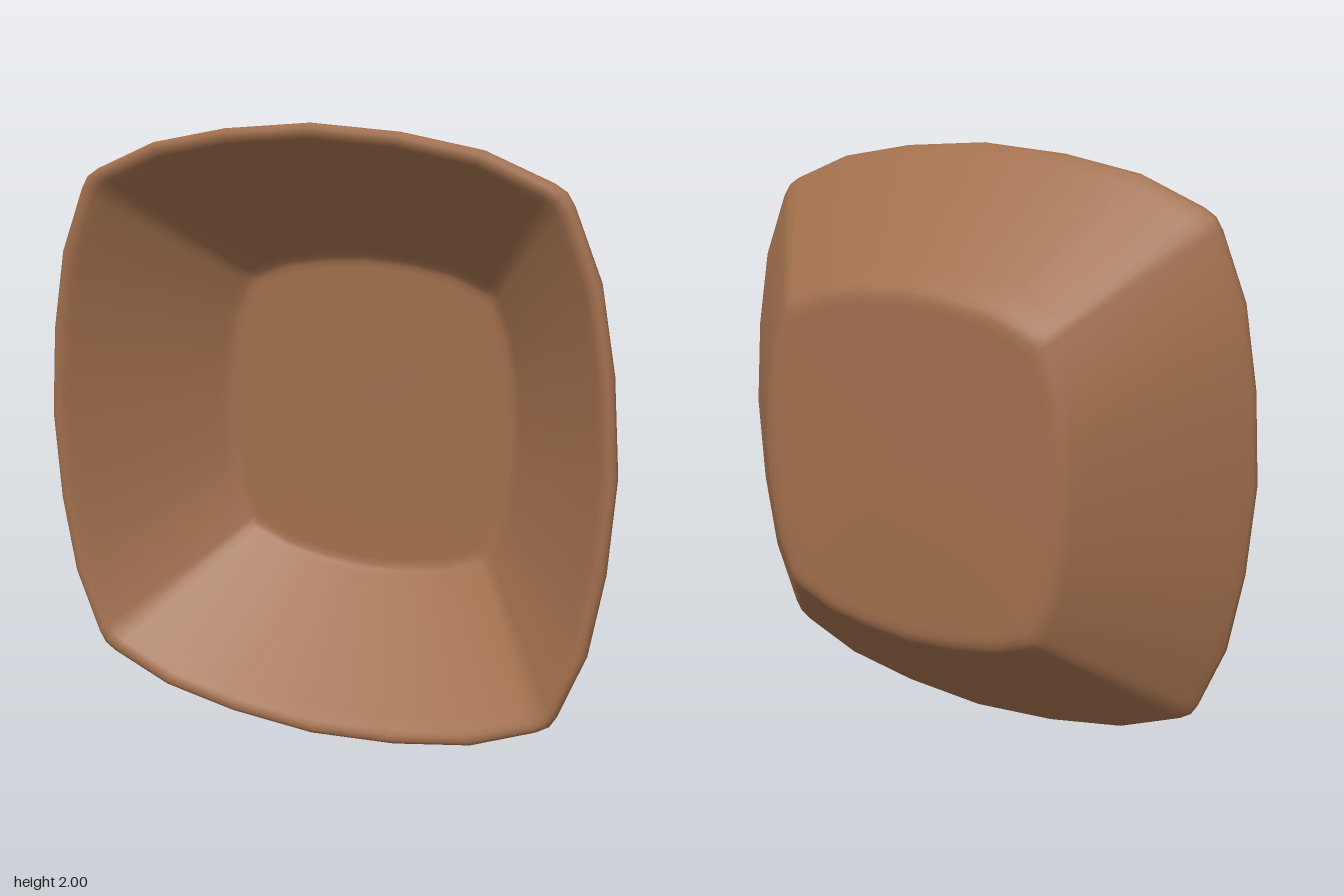
import * as THREE from 'three';

// One quarter of the rounded-square outline, from +x round to just before +y
const QUARTER = [
  [1, 0], [0.978, 0.3], [0.93, 0.565], [0.842, 0.78],
  [0.818, 0.818], [0.78, 0.842], [0.565, 0.93], [0.3, 0.978],
];

// Wall section from the back centre, round the rim, to the floor centre: [outline scale, z]
const SECTION = [
  [0, -0.24], [0.53, -0.24], [0.558, -0.238], [0.582, -0.231], [0.602, -0.215],
  [0.64, -0.174], [0.97, 0.178], [0.994, 0.204], [1, 0.218], [0.997, 0.23],
  [0.985, 0.238], [0.968, 0.236], [0.952, 0.225], [0.93, 0.202],
  [0.57, -0.17], [0.548, -0.19], [0.532, -0.198], [0.51, -0.2], [0, -0.2],
];

// Full outline, the quarter turned four times
function makeOutline() {
  const points = [];
  for (let q = 0; q < 4; q++) {
    for (const [x, y] of QUARTER) {
      points.push(new THREE.Vector2(x, y).rotateAround(new THREE.Vector2(), q * Math.PI / 2));
    }
  }
  return points;
}

// Skin of scaled outlines that follows the section
function makeBowlGeometry() {
  const outline = makeOutline();
  const n = outline.length;
  const positions = [];
  const indices = [];
  SECTION.forEach(([scale, z], i) => {
    for (const p of outline) positions.push(p.x * scale, p.y * scale, z);
    if (i === SECTION.length - 1) return;
    for (let j = 0; j < n; j++) {
      const a = i * n + j;
      const b = i * n + (j + 1) % n;
      if (scale > 0) indices.push(a, b, a + n);
      if (SECTION[i + 1][0] > 0) indices.push(b, b + n, a + n);
    }
  });
  const geometry = new THREE.BufferGeometry();
  geometry.setAttribute('position', new THREE.Float32BufferAttribute(positions, 3));
  geometry.setIndex(indices);
  geometry.computeVertexNormals();
  return geometry;
}

export function createModel() {
  const group = new THREE.Group();
  group.name = 'squareBowl';
  const material = new THREE.MeshStandardMaterial({ color: 0xa06e4c });
  const bowl = new THREE.Mesh(makeBowlGeometry(), material);
  bowl.name = 'bowl';
  bowl.position.y = 1; // stands upright on its rim
  group.add(bowl);
  return group;
}
